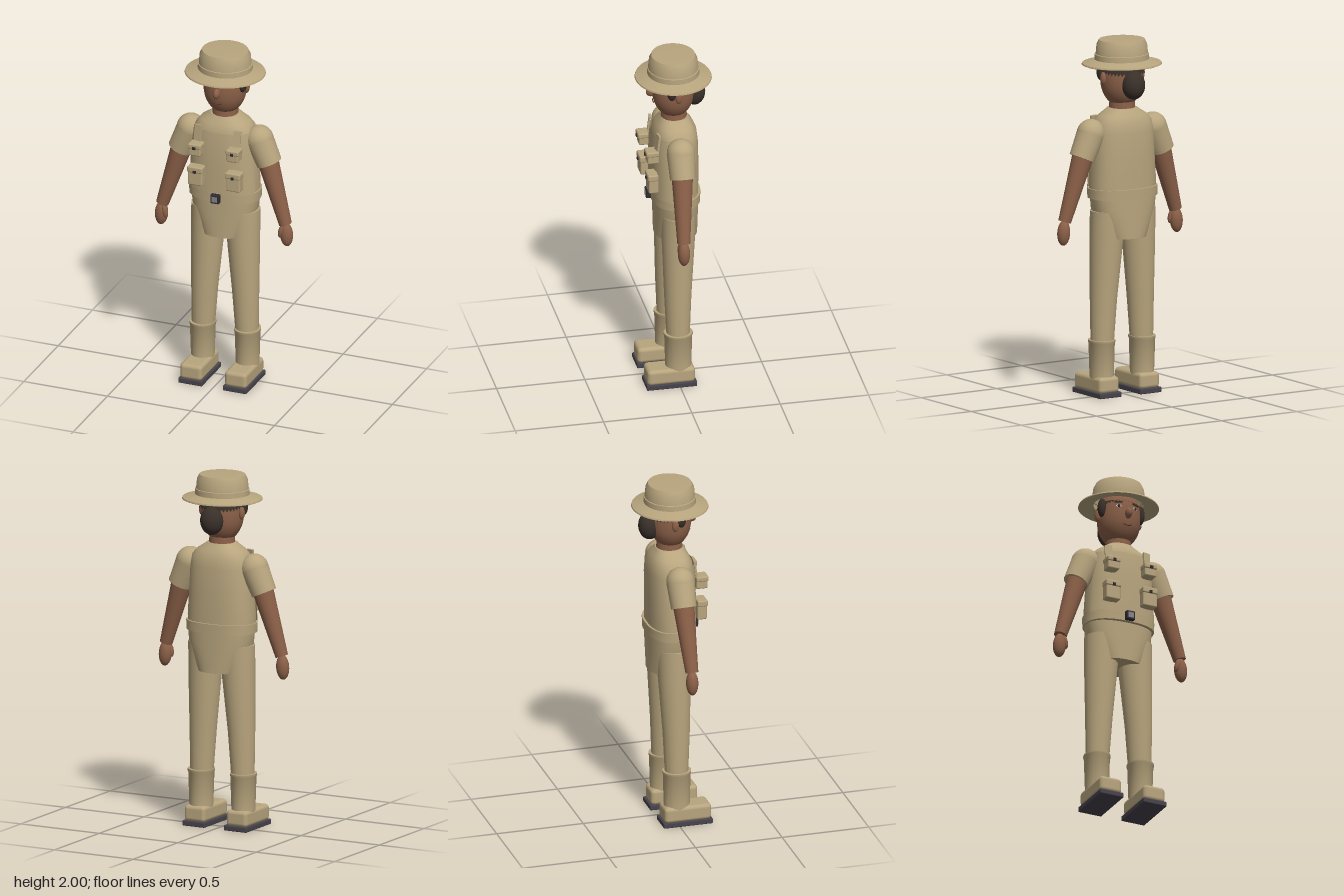
import * as THREE from 'three';
import { toCreasedNormals } from 'three/addons/utils/BufferGeometryUtils.js';
import { RoundedBoxGeometry } from 'three/addons/geometries/RoundedBoxGeometry.js';

const mat = (name, color) => Object.assign(new THREE.MeshStandardMaterial({ color }), { name });

// Stack of rounded rings [y, rx, rz, cx, cz]; a partial arc gives an open shell
function loft(rings, power = 2, arc = Math.PI, n = 40) {
  const pos = [], idx = [], row = n + 1, closed = arc === Math.PI;
  const bend = v => Math.sign(v) * Math.abs(v) ** (2 / power);
  for (const [y, rx, rz, cx = 0, cz = 0] of rings)
    for (let i = 0; i <= n; i++) {
      const a = -arc + (2 * arc * (closed ? i % n : i)) / n;
      pos.push(cx + rx * bend(Math.sin(a)), y, cz + rz * bend(Math.cos(a)));
    }
  for (let j = 0; j < rings.length - 1; j++)
    for (let i = 0; i < n; i++) {
      const a = j * row + i, b = a + 1, c = a + row, d = c + 1;
      idx.push(a, b, d, a, d, c);
    }
  if (closed) {
    const last = (rings.length - 1) * row, base = pos.length / 3;
    for (const r of [rings[0], rings.at(-1)]) pos.push(r[3] ?? 0, r[0], r[4] ?? 0);
    for (let i = 0; i < n; i++) idx.push(base, i + 1, i, base + 1, last + i, last + i + 1);
  }
  const g = new THREE.BufferGeometry();
  g.setAttribute('position', new THREE.Float32BufferAttribute(pos, 3));
  g.setIndex(idx);
  return toCreasedNormals(g, 0.65);
}

export function createModel() {
  const model = new THREE.Group();
  const khaki = mat('khaki cloth', 0xb8a57e);
  khaki.side = THREE.DoubleSide;
  const skin = mat('skin', 0x8b6048);
  const hair = mat('dark hair', 0x3a302a);
  hair.side = THREE.DoubleSide;
  const rubber = mat('sole rubber', 0x47434c);
  const dark = mat('dark metal', 0x2e2c30);
  const steel = mat('buckle steel', 0x85838a);
  const white = mat('eye white', 0xe0d8cc);
  const lip = mat('lip', 0x5e3a30);

  const add = (name, geo, material, x = 0, y = 0, z = 0) => {
    const m = new THREE.Mesh(geo, material);
    m.name = name;
    m.position.set(x, y, z);
    model.add(m);
    return m;
  };
  const ball = (name, material, x, y, z, rx, ry, rz) => {
    const m = add(name, new THREE.SphereGeometry(1, 28, 20), material, x, y, z);
    m.scale.set(rx, ry, rz);
    return m;
  };
  const box = (name, material, w, h, d, x, y, z, r = 0.008) =>
    add(name, r ? new RoundedBoxGeometry(w, h, d, 2, r) : new THREE.BoxGeometry(w, h, d), material, x, y, z);
  const limb = (name, material, from, to, r0, r1) => {
    const a = new THREE.Vector3(...from), b = new THREE.Vector3(...to);
    const m = add(name, new THREE.CylinderGeometry(r1, r0, a.distanceTo(b), 32), material);
    m.position.copy(a).lerp(b, 0.5);
    m.quaternion.setFromUnitVectors(new THREE.Vector3(0, 1, 0), b.sub(a).normalize());
    return m;
  };
  const lathe = (name, points, material, depth, crease) => {
    const g = new THREE.LatheGeometry(points.map(p => new THREE.Vector2(...p)), 48);
    const m = add(name, crease ? toCreasedNormals(g, crease) : g, material);
    m.scale.z = depth;
    return m;
  };

  // Hat with a sloped brim and a low crown
  lathe('hat', [[0.14, 1.872], [0.22, 1.854], [0.227, 1.857], [0.224, 1.865], [0.154, 1.885], [0.153, 1.915],
    [0.148, 1.917], [0.143, 1.968], [0.129, 1.996], [0, 2]], khaki, 0.94, 0.45);

  // Head and neck
  const face = new THREE.SplineCurve([[0.001, 1.625], [0.045, 1.632], [0.08, 1.655], [0.107, 1.7], [0.119, 1.75],
    [0.12, 1.81], [0.112, 1.87], [0.08, 1.93]].map(p => new THREE.Vector2(...p)));
  lathe('head', face.getPoints(28).map(p => [Math.max(p.x, 0), p.y]), skin, 0.98);
  add('neck', new THREE.CylinderGeometry(0.068, 0.075, 0.11, 32), skin, 0, 1.635, -0.003);
  ball('nose', skin, 0, 1.778, 0.125, 0.019, 0.031, 0.03);
  const mouth = add('mouth', new THREE.TorusGeometry(0.05, 0.003, 6, 16, 1.1), lip, 0, 1.759, 0.113);
  mouth.rotation.z = -Math.PI / 2 - 0.55;

  // Hair cap with a hairline that drops toward the back
  const cap = new THREE.SphereGeometry(1, 40, 12);
  const p = cap.attributes.position, uv = cap.attributes.uv;
  for (let i = 0; i < p.count; i++) {
    const phi = uv.getX(i) * Math.PI * 2, front = (Math.sin(phi) + 1) / 2;
    const t = (1 - uv.getY(i)) * (1.55 - 0.4 * front ** 2);
    p.setXYZ(i, -Math.cos(phi) * Math.sin(t) * 0.13, Math.cos(t) * 0.13, Math.sin(phi) * Math.sin(t) * 0.126);
  }
  cap.computeVertexNormals();
  add('hair', cap, hair, 0, 1.8, 0);
  ball('hairBun', hair, 0, 1.753, -0.118, 0.066, 0.08, 0.062);

  // Shirt, vest front, belt and hips
  add('shirt', loft([[1.12, 0.195, 0.125], [1.2, 0.199, 0.126], [1.35, 0.188, 0.128], [1.48, 0.18, 0.125],
    [1.54, 0.17, 0.118], [1.575, 0.14, 0.102], [1.6, 0.1, 0.085], [1.615, 0.08, 0.076]]
    .map(r => [...r, 0, -0.005]), 2.4), khaki);
  add('vest', loft([[1.165, 0.206, 0.137], [1.35, 0.194, 0.138], [1.47, 0.186, 0.135], [1.535, 0.176, 0.127]]
    .map(r => [...r, 0, -0.005]), 2.4, 1.25), khaki);
  add('belt', loft([[1.115, 0.204, 0.137, 0, -0.005], [1.17, 0.206, 0.138, 0, -0.005]], 2.4), khaki);
  box('buckleFrame', dark, 0.052, 0.052, 0.03, 0, 1.143, 0.143, 0.005);
  box('bucklePlate', steel, 0.032, 0.032, 0.006, 0, 1.143, 0.157, 0);
  add('hips', loft([[0.89, 0.125, 0.12], [0.93, 0.145, 0.12], [1.0, 0.172, 0.12], [1.05, 0.188, 0.12],
    [1.12, 0.196, 0.12]].map(r => [...r, 0, -0.01]), 2.4), khaki);

  for (const s of [1, -1]) {
    const side = s > 0 ? 'left' : 'right';

    // Face details
    ball(side + 'Ear', skin, s * 0.127, 1.787, -0.005, 0.016, 0.036, 0.02);
    ball(side + 'Sideburn', hair, s * 0.118, 1.825, 0.032, 0.024, 0.056, 0.028);
    const eye = ball(side + 'Eye', white, s * 0.05, 1.82, 0.105, 0.016, 0.009, 0.004);
    const pupil = ball(side + 'Pupil', dark, s * 0.05, 1.82, 0.108, 0.008, 0.009, 0.004);
    const brow = box(side + 'Brow', hair, 0.046, 0.008, 0.008, s * 0.052, 1.844, 0.105, 0);
    for (const m of [eye, pupil, brow]) m.rotation.y = s * 0.42;

    // Arm
    ball(side + 'Shoulder', khaki, s * 0.205, 1.485, 0, 0.08, 0.08, 0.078);
    limb(side + 'Sleeve', khaki, [s * 0.205, 1.485, 0], [s * 0.265, 1.35, 0.002], 0.079, 0.071);
    limb(side + 'Arm', skin, [s * 0.25, 1.385, 0.002], [s * 0.368, 1.0, 0.018], 0.061, 0.036);
    const hand = ball(side + 'Hand', skin, s * 0.374, 0.938, 0.018, 0.037, 0.071, 0.034);
    hand.rotation.z = s * 0.06;
    const thumb = ball(side + 'Thumb', skin, s * 0.347, 0.957, 0.032, 0.016, 0.04, 0.018);
    thumb.rotation.z = -s * 0.2;

    // Vest strap and pockets
    const strap = box(side + 'Strap', khaki, 0.042, 0.1, 0.012, s * 0.117, 1.512, 0.113, 0);
    strap.rotation.set(-0.12, s * 0.2, 0);
    box(side + 'UpperPocket', khaki, 0.07, 0.07, 0.065, s * 0.113, 1.432, 0.143);
    box(side + 'UpperFlap', khaki, 0.078, 0.03, 0.072, s * 0.113, 1.455, 0.146);
    box(side + 'LowerPocket', khaki, 0.086, 0.11, 0.055, s * 0.113, 1.27, 0.142);
    box(side + 'LowerFlap', khaki, 0.092, 0.036, 0.06, s * 0.113, 1.31, 0.145);
    box(side + 'UpperButton', dark, 0.017, 0.015, 0.008, s * 0.113, 1.448, 0.184, 0);
    box(side + 'LowerButton', dark, 0.017, 0.015, 0.008, s * 0.113, 1.3, 0.177, 0);

    // Trouser leg
    add(side + 'Leg', loft([[0.28, 0.064, 0.064, s * 0.131, 0], [0.55, 0.076, 0.076, s * 0.122, 0],
      [0.88, 0.094, 0.092, s * 0.106, -0.006], [1.045, 0.097, 0.096, s * 0.102, -0.008]]), khaki);

    // Boot with cuff, foot and sole
    add(side + 'BootShaft', loft([[0.05, 0.064, 0.073, s * 0.134], [0.12, 0.065, 0.073, s * 0.134],
      [0.3, 0.071, 0.078, s * 0.134], [0.305, 0.074, 0.081, s * 0.134], [0.318, 0.074, 0.081, s * 0.134]]), khaki);
    box(side + 'BootFoot', khaki, 0.132, 0.092, 0.27, s * 0.134, 0.07, 0.05, 0.022);
    box(side + 'Sole', rubber, 0.143, 0.03, 0.284, s * 0.133, 0.015, 0.048, 0.006);
  }
  return model;
}
